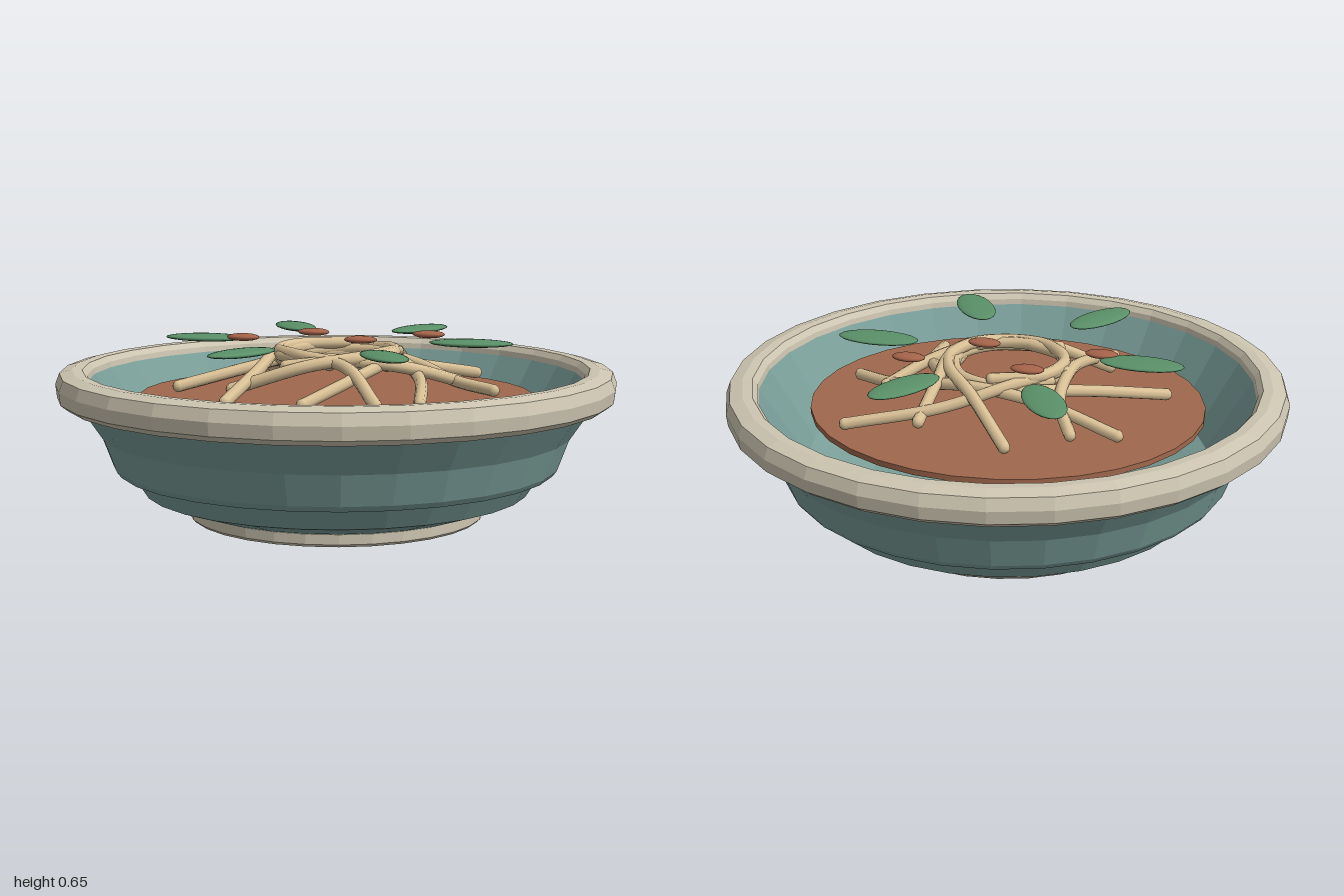
import * as THREE from 'three';

const material = (name, color, flatShading = false) => {
  const m = new THREE.MeshStandardMaterial({ color, flatShading });
  m.name = name;
  return m;
};

export function createModel() {
  const model = new THREE.Group();
  const teal = material('teal glaze', 0x7a9e99, true);
  const cream = material('cream clay', 0xcdc5b1, true);
  const broth = material('broth', 0xa0674d);
  const noodle = material('noodle', 0xd9c096);
  const leafGreen = material('leaf green', 0x5a9068);
  const meat = material('meat', 0xa5634a);

  const add = (name, geometry, mat, parent = model) => {
    const mesh = new THREE.Mesh(geometry, mat);
    mesh.name = name;
    parent.add(mesh);
    return mesh;
  };
  const group = (name) => {
    const g = new THREE.Group();
    g.name = name;
    model.add(g);
    return g;
  };
  const lathe = (points) =>
    new THREE.LatheGeometry(points.map(([r, y]) => new THREE.Vector2(r, y)), 30);

  // Foot, stepped bowl wall with its inside, and rounded rim
  add('foot', lathe([[0, 0], [0.525, 0], [0.535, 0.01], [0.535, 0.045], [0.525, 0.055], [0, 0.055]]), cream);
  add('bowl', lathe([
    [0.4, 0.05], [0.55, 0.05], [0.695, 0.1], [0.74, 0.17], [0.79, 0.18], [0.805, 0.2],
    [0.845, 0.31], [0.925, 0.43], [0.93, 0.5], [0.885, 0.5], [0.725, 0.24], [0.5, 0.14], [0, 0.12],
  ]), teal);
  add('rim', lathe([
    [0.88, 0.47], [0.91, 0.425], [0.97, 0.425], [0.995, 0.445], [1, 0.49], [0.985, 0.53],
    [0.94, 0.542], [0.905, 0.54], [0.888, 0.52], [0.88, 0.47],
  ]), cream);

  // Slightly oval surface of the broth
  const soup = add('broth', new THREE.CylinderGeometry(1, 1, 0.02, 32), broth);
  soup.scale.set(0.71, 1, 0.66);
  soup.position.y = 0.43;

  // Noodle strands in plan (x, z); height falls from the nest to the loose ends
  const strands = [
    [[-0.12, -0.47], [0.05, -0.28], [0.18, -0.12], [0.21, 0.05], [0.12, 0.19], [-0.13, 0.25]],
    [[0.46, -0.42], [0.15, -0.32], [-0.07, -0.2], [-0.19, -0.05], [-0.17, 0.12], [-0.02, 0.2]],
    [[-0.46, -0.27], [-0.2, -0.23], [0.08, -0.21], [0.28, -0.15], [0.42, -0.06], [0.57, 0.03]],
    [[-0.55, 0.14], [-0.32, -0.03], [-0.15, -0.16], [0.05, -0.2], [0.19, -0.07], [0.2, 0.1]],
    [[-0.31, 0.3], [-0.05, 0.27], [0.14, 0.16], [0.21, 0], [0.2, -0.2], [0.21, -0.38]],
    [[-0.29, 0.47], [-0.24, 0.2], [-0.23, 0], [-0.24, -0.2], [-0.31, -0.33]],
    [[-0.02, 0.49], [0.13, 0.27], [0.2, 0.05], [0.13, -0.14], [-0.04, -0.2], [-0.18, -0.1]],
    [[0.36, 0.39], [0.32, 0.12], [0.22, -0.07], [0.07, -0.19], [-0.12, -0.17], [-0.2, 0.02]],
    [[0.22, 0.45], [0.08, 0.26], [-0.1, 0.18], [-0.2, 0.04], [-0.16, -0.12], [0, -0.2]],
    [[0.43, -0.08], [0.3, 0.08], [0.17, 0.17], [0, 0.2], [-0.15, 0.14], [-0.22, -0.03]],
  ];
  const noodles = group('noodles');
  const cap = new THREE.SphereGeometry(0.022, 8, 6);
  strands.forEach((strand, i) => {
    const points = strand.map(([x, z]) => {
      const t = THREE.MathUtils.smoothstep(Math.hypot(x, z), 0.15, 0.52);
      return new THREE.Vector3(x, THREE.MathUtils.lerp(0.607 - (i % 4) * 0.013, 0.47, t), z);
    });
    add('noodle', new THREE.TubeGeometry(new THREE.CatmullRomCurve3(points), 32, 0.022, 8), noodle, noodles);
    for (const end of [points[0], points.at(-1)]) add('noodleEnd', cap, noodle, noodles).position.copy(end);
  });

  // Six leaves laid out radially
  const leaves = group('leaves');
  const leafGeometry = new THREE.SphereGeometry(1, 20, 12).scale(0.15, 0.014, 0.068);
  for (let i = 0; i < 6; i++) {
    const a = (i * Math.PI) / 3;
    const leaf = add('leaf', leafGeometry, leafGreen, leaves);
    leaf.position.set(0.485 * Math.cos(a), 0.632, -0.485 * Math.sin(a));
    leaf.rotation.y = a;
  }

  // Small meat pieces
  const pieces = group('meatPieces');
  const pieceGeometry = new THREE.SphereGeometry(1, 16, 10).scale(0.06, 0.014, 0.034);
  for (const [x, z] of [[-0.12, -0.175], [0.31, -0.175], [-0.335, 0.035], [0.095, 0.035]]) {
    add('meatPiece', pieceGeometry, meat, pieces).position.set(x, 0.64, z);
  }
  return model;
}
